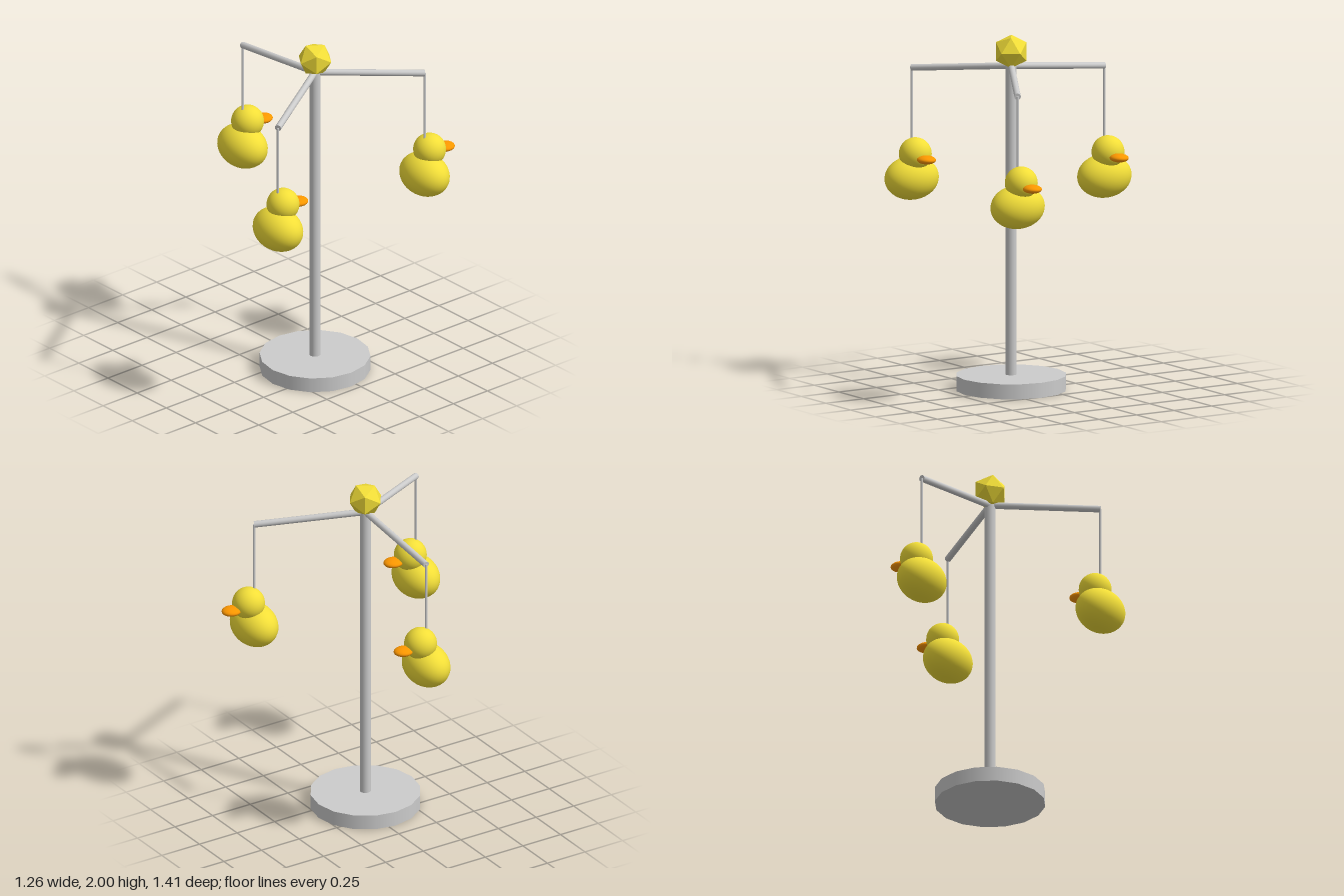
import * as THREE from 'three';

const grey = new THREE.MeshStandardMaterial({ color: 0xcccccc });
const yellow = new THREE.MeshStandardMaterial({ color: 0xf2de38 });
const facetYellow = new THREE.MeshStandardMaterial({ color: 0xf2de38, flatShading: true });
const orange = new THREE.MeshStandardMaterial({ color: 0xff9800 });

function add(parent, name, geometry, material, x = 0, y = 0, z = 0) {
  const mesh = new THREE.Mesh(geometry, material);
  mesh.name = name;
  mesh.position.set(x, y, z);
  parent.add(mesh);
  return mesh;
}

// Round bar running between two points
function addBar(parent, name, a, b, radius, sides) {
  const mesh = add(parent, name, new THREE.CylinderGeometry(radius, radius, a.distanceTo(b), sides), grey);
  mesh.position.copy(a).lerp(b, 0.5);
  mesh.quaternion.setFromUnitVectors(new THREE.Vector3(0, 1, 0), b.clone().sub(a).normalize());
  return mesh;
}

// Duck facing -z, origin at the centre of its body
function createDuck() {
  const duck = new THREE.Group();
  duck.name = 'duck';
  add(duck, 'body', new THREE.SphereGeometry(0.123, 32, 24).scale(1.325, 1, 1), yellow);
  add(duck, 'head', new THREE.SphereGeometry(0.092, 32, 24), yellow, 0, 0.142, -0.037);
  add(duck, 'beak', new THREE.SphereGeometry(0.05, 24, 16).scale(1.03, 0.48, 1.15), orange, 0, 0.124, -0.15);
  return duck;
}

export function createModel() {
  const model = new THREE.Group();
  model.name = 'duckMobile';

  // Stand, set off centre so that the whole is centred
  const stand = new THREE.Group();
  stand.name = 'stand';
  stand.position.set(0.153, 0, 0.04);
  model.add(stand);
  add(stand, 'base', new THREE.CylinderGeometry(0.31, 0.31, 0.085, 16), grey, 0, 0.0425, 0);
  add(stand, 'pole', new THREE.CylinderGeometry(0.031, 0.031, 1.76, 16), grey, 0, 0.96, 0);
  const finial = add(stand, 'finial', new THREE.IcosahedronGeometry(0.1, 0), facetYellow, 0, 1.915, 0);
  finial.rotation.y = 0.97;

  // Three arms, each with a string and a duck
  for (let i = 0; i < 3; i++) {
    const angle = Math.PI / 3 + (i * 2 * Math.PI) / 3;
    const x = 0.621 * Math.cos(angle);
    const z = 0.621 * Math.sin(angle);
    const tip = new THREE.Vector3(x, 1.773, z);
    addBar(stand, 'arm', new THREE.Vector3(0, 1.835, 0), tip, 0.0186, 12);
    addBar(stand, 'string', tip, new THREE.Vector3(x, 1.3, z), 0.007, 8);
    const duck = createDuck();
    duck.position.set(x, 1.148, z);
    stand.add(duck);
  }
  return model;
}
